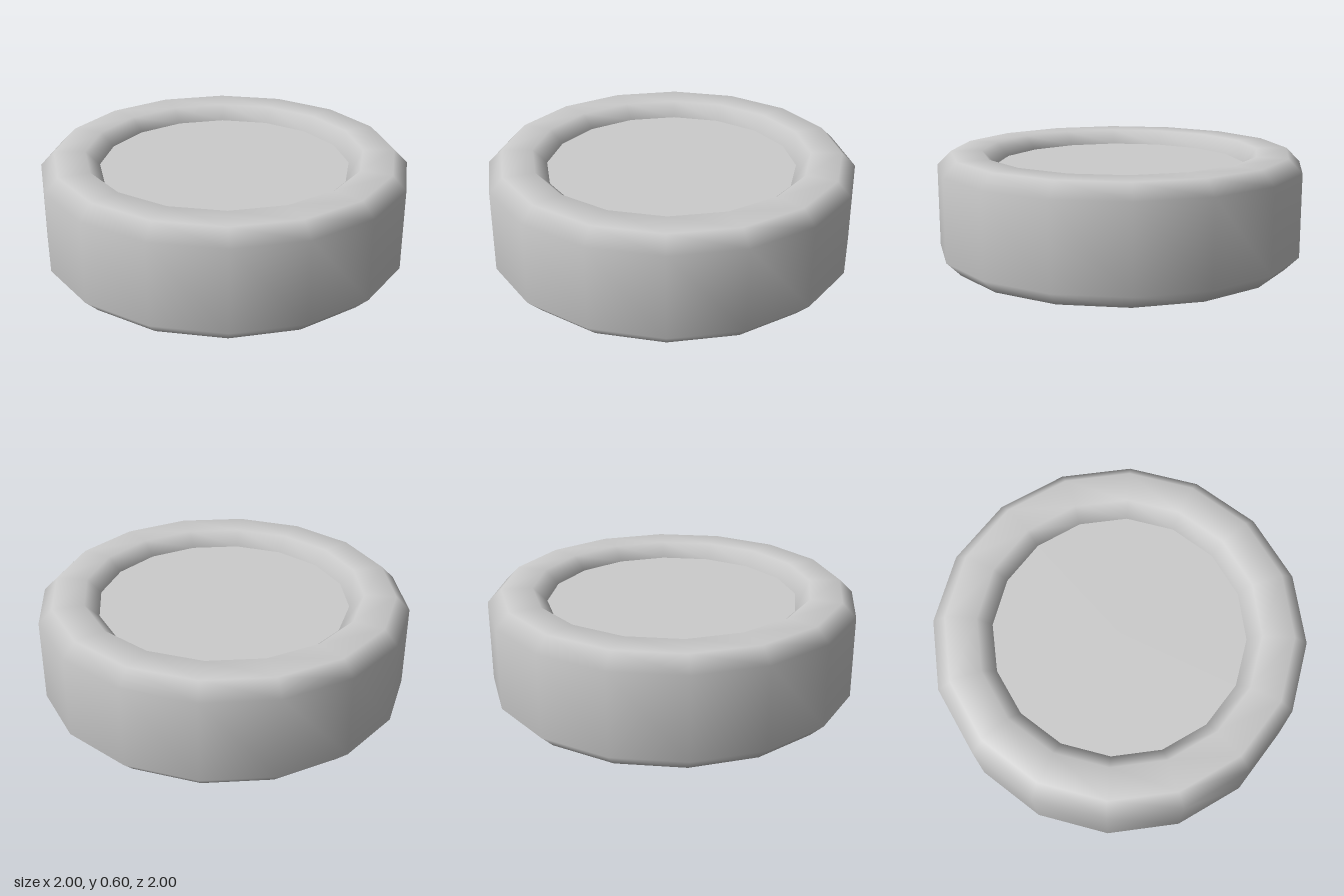
import * as THREE from 'three';

const SIDES = 16;
const HEIGHT = 0.6;
const OUTER = 1;
const INNER = 0.68;
const BEVEL = 0.075;

export function createModel() {
  const group = new THREE.Group();
  group.name = 'wheel';
  const material = new THREE.MeshStandardMaterial({ color: 0xcccccc });

  // Tyre: bevelled ring, profile starts and ends halfway up the hidden inner wall
  const profile = [
    [INNER, HEIGHT / 2],
    [INNER, BEVEL],
    [INNER + BEVEL, 0],
    [OUTER - BEVEL, 0],
    [OUTER, BEVEL],
    [OUTER, HEIGHT - BEVEL],
    [OUTER - BEVEL, HEIGHT],
    [INNER + BEVEL, HEIGHT],
    [INNER, HEIGHT - BEVEL],
    [INNER, HEIGHT / 2],
  ].map(([r, y]) => new THREE.Vector2(r, y));
  const tyre = new THREE.Mesh(new THREE.LatheGeometry(profile, SIDES), material);
  tyre.name = 'tyre';
  group.add(tyre);

  // Hub: flat discs recessed by the bevel on both faces
  for (const [name, y, turn] of [
    ['topHub', HEIGHT - BEVEL, -Math.PI / 2],
    ['bottomHub', BEVEL, Math.PI / 2],
  ]) {
    const hub = new THREE.Mesh(new THREE.CircleGeometry(INNER, SIDES), material);
    hub.name = name;
    hub.rotation.x = turn;
    hub.position.y = y;
    group.add(hub);
  }

  return group;
}
